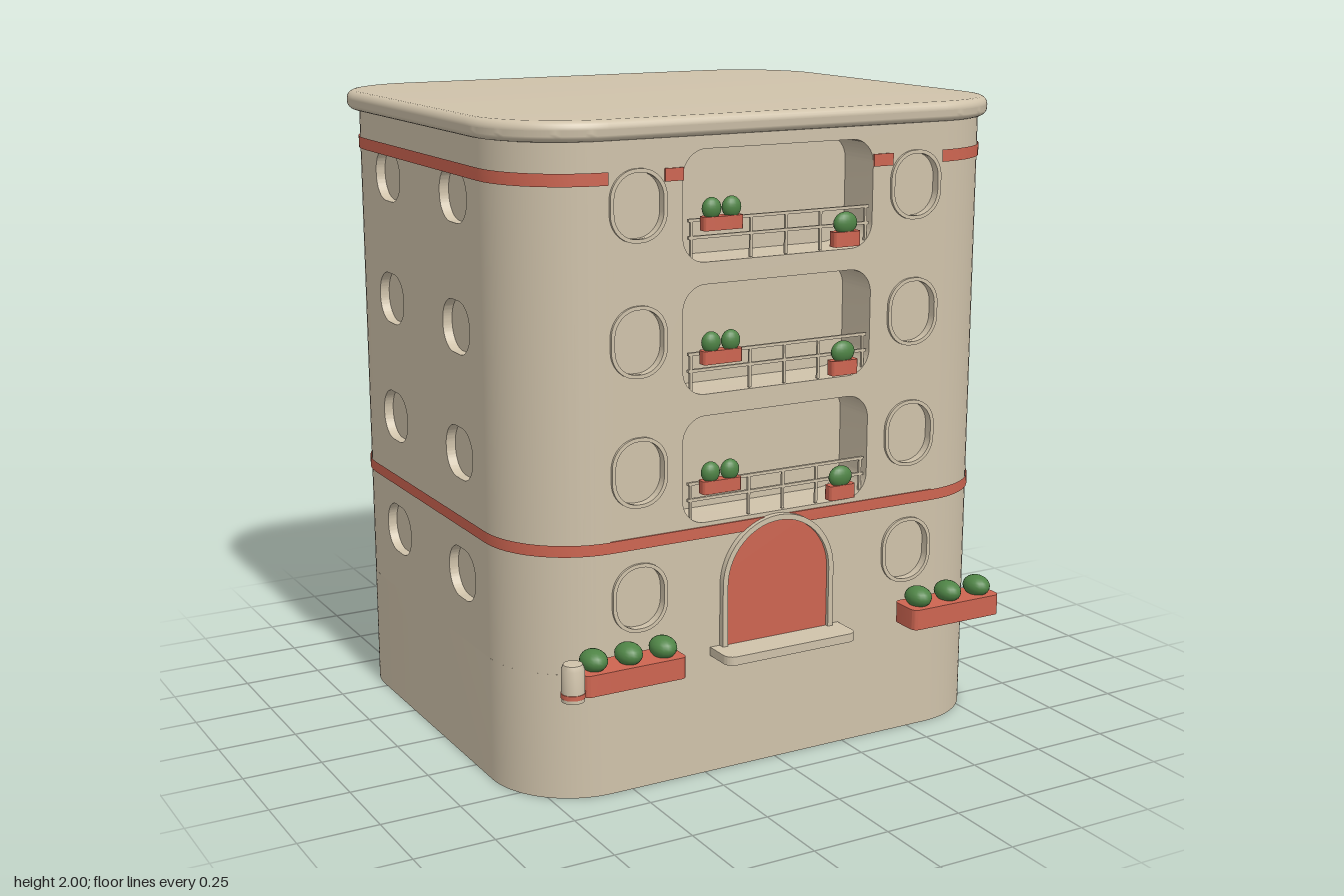
import * as THREE from 'three';
import { toCreasedNormals } from 'three/addons/utils/BufferGeometryUtils.js';

const material = (name, color, side = THREE.FrontSide) => {
  const m = new THREE.MeshStandardMaterial({ color, side });
  m.name = name;
  return m;
};

// Main dimensions
const HALF_W = 0.84, FRONT = 0.64, BACK = -0.79, R = 0.27;
const MID_Z = (FRONT + BACK) / 2, DEPTH = FRONT - BACK;
const BASE_TOP = 0.39, WALL_TOP = 1.95;
const ROWS = [0.6, 0.98, 1.365, 1.755];
const BALCONIES = [0.8, 1.19, 1.58];

// Traces a rounded rectangle centred on (x, y) into a Shape or Path
function roundRect(path, x, y, w, h, r) {
  const a = w / 2 - r, b = h / 2 - r;
  path.moveTo(x + a, y - b - r);
  path.absarc(x + a, y - b, r, -Math.PI / 2, 0);
  path.absarc(x + a, y + b, r, 0, Math.PI / 2);
  path.absarc(x - a, y + b, r, Math.PI / 2, Math.PI);
  path.absarc(x - a, y - b, r, Math.PI, Math.PI * 1.5);
  path.closePath();
  return path;
}

function arch(path, half, bottom, spring) {
  path.moveTo(-half, bottom);
  path.lineTo(half, bottom);
  path.lineTo(half, spring);
  path.absarc(0, spring, half, 0, Math.PI);
  path.closePath();
  return path;
}

function extrude(shape, depth, bevel = 0) {
  const geo = new THREE.ExtrudeGeometry(shape, {
    depth, curveSegments: 14, bevelEnabled: bevel > 0,
    bevelSize: bevel, bevelThickness: bevel, bevelOffset: -bevel, bevelSegments: 5,
  });
  return toCreasedNormals(geo, 0.6);
}

// Plan-shaped slab standing between two heights
function slab(w, d, r, y0, y1, bevel = 0) {
  const geo = extrude(roundRect(new THREE.Shape(), 0, 0, w, d, r), y1 - y0 - 2 * bevel, bevel);
  return geo.rotateX(-Math.PI / 2).translate(0, y0 + bevel, 0);
}

export function createModel() {
  const plaster = material('plaster', 0xcfc2aa);
  const plasterThin = plaster;
  const red = material('terracotta', 0xcd6551, THREE.DoubleSide);
  const green = material('foliage', 0x4f8446);
  const model = new THREE.Group();
  model.name = 'apartmentBuilding';

  function add(parent, name, geo, mat, x = 0, y = 0, z = 0) {
    const mesh = new THREE.Mesh(geo, mat);
    mesh.name = name;
    mesh.position.set(x, y, z);
    parent.add(mesh);
    return mesh;
  }
  const box = (parent, name, mat, x, y, z, w, h, d) =>
    add(parent, name, new THREE.BoxGeometry(w, h, d), mat, x, y, z);

  // Wall facing local +z, its outer face on z = 0, pierced by rounded openings
  function wall(name, width, thickness, openings) {
    const group = new THREE.Group();
    group.name = name;
    const shape = new THREE.Shape();
    shape.moveTo(-width / 2, BASE_TOP);
    shape.lineTo(width / 2, BASE_TOP);
    shape.lineTo(width / 2, WALL_TOP);
    shape.lineTo(-width / 2, WALL_TOP);
    shape.closePath();
    for (const o of openings) {
      shape.holes.push(roundRect(new THREE.Path(), o.x, o.y, o.w, o.h, o.r));
      box(group, o.name, plaster, o.x, o.y, -o.depth - 0.004, o.w, o.h, 0.008);
    }
    add(group, name + 'Panel', extrude(shape, thickness), plaster, 0, 0, -thickness);
    model.add(group);
    return group;
  }

  // Base and roof
  add(model, 'base', slab(HALF_W * 2, DEPTH, R, 0, BASE_TOP), plaster, 0, 0, MID_Z);
  add(model, 'roof', slab(1.75, 1.49, 0.3, 1.94, 2, 0.025), plaster, 0, 0, -0.085);

  // Front wall with windows and balcony recesses
  const frontOpenings = BALCONIES.map((b) => (
    { name: 'balconyBackWall', x: -0.005, y: b + 0.16, w: 0.65, h: 0.325, r: 0.075, depth: 0.15 }));
  for (const y of ROWS) for (const s of [-1, 1]) {
    frontOpenings.push({ name: 'frontWindow', x: s * 0.475, y, w: 0.16, h: 0.19, r: 0.075, depth: 0.02 });
  }
  const front = wall('frontWall', 2 * (HALF_W - R), 0.15, frontOpenings);
  front.position.z = FRONT;
  const ring = roundRect(new THREE.Shape(), 0, 0, 0.182, 0.21, 0.085);
  ring.holes.push(roundRect(new THREE.Path(), 0, 0, 0.158, 0.188, 0.074));
  const ringGeo = extrude(ring, 0.012);
  for (const y of ROWS) for (const s of [-1, 1]) {
    add(front, 'windowFrame', ringGeo, plaster, s * 0.475, y, -0.004);
  }

  // Side walls, back wall and rounded corners
  for (const s of [-1, 1]) {
    const openings = [];
    for (const y of ROWS) for (const z of [0.18, -0.335]) {
      openings.push({ name: 'sideWindow', x: -s * (z - MID_Z), y, w: 0.2, h: 0.16, r: 0.076, depth: 0.03 });
    }
    const side = wall(s > 0 ? 'leftWall' : 'rightWall', DEPTH - 2 * R, 0.04, openings);
    side.rotation.y = s * Math.PI / 2;
    side.position.set(s * HALF_W, 0, MID_Z);
  }
  const back = wall('backWall', 2 * (HALF_W - R), 0.04, []);
  back.rotation.y = Math.PI;
  back.position.z = BACK;
  for (let i = 0; i < 4; i++) {
    const geo = new THREE.CylinderGeometry(R, R, WALL_TOP - BASE_TOP, 14, 1, true, i * Math.PI / 2, Math.PI / 2);
    const x = (i < 2 ? 1 : -1) * (HALF_W - R);
    const z = i === 0 || i === 3 ? FRONT - R : BACK + R;
    add(model, 'roundedCorner', geo, plasterThin, x, (BASE_TOP + WALL_TOP) / 2, z);
  }

  // Painted bands: a ribbon around the back and sides, then short front strips
  const out = 0.005;
  function band(y0, y1, strips) {
    const points = [];
    for (let i = 0; i < 4; i++) {
      const cx = (i < 2 ? 1 : -1) * (HALF_W - R);
      const cz = i === 0 || i === 3 ? FRONT - R : BACK + R;
      for (let k = 0; k <= 12; k++) {
        const t = (i + k / 12) * Math.PI / 2;
        points.push([cx + Math.sin(t) * (R + out), cz + Math.cos(t) * (R + out)]);
      }
    }
    const pos = [], index = [];
    points.forEach(([x, z], i) => {
      pos.push(x, y0, z, x, y1, z);
      const a = 2 * i;
      if (i < points.length - 1) index.push(a, a + 2, a + 1, a + 1, a + 2, a + 3);
    });
    const geo = new THREE.BufferGeometry();
    geo.setAttribute('position', new THREE.Float32BufferAttribute(pos, 3));
    geo.setIndex(index);
    geo.computeVertexNormals();
    add(model, 'paintedBand', geo, red);
    for (const [x0, x1] of strips) {
      box(model, 'frontBand', red, (x0 + x1) / 2, (y0 + y1) / 2, FRONT + out / 2, x1 - x0, y1 - y0, out);
    }
  }
  band(1.818, 1.855, [[-0.39, -0.33], [0.32, 0.39]]);
  band(0.75, 0.785, [[-0.57, 0.57]]);

  // Arched door, frame and step
  const frame = arch(new THREE.Shape(), 0.197, BASE_TOP, 0.593);
  frame.holes.push(arch(new THREE.Path(), 0.18, BASE_TOP + 0.001, 0.593));
  add(model, 'doorFrame', extrude(frame, 0.025), plaster, -0.005, 0, FRONT - 0.005);
  add(model, 'door', extrude(arch(new THREE.Shape(), 0.182, BASE_TOP, 0.593), 0.008), red, -0.005, 0, FRONT);
  add(model, 'doorStep', slab(0.46, 0.15, 0.03, 0.375, 0.402), plaster, -0.005, 0, 0.675);

  // Planters with rounded bushes
  const leaf = new THREE.SphereGeometry(1, 18, 12);
  function planter(parent, x, y, z, w, h, d, bushes, rx, ry, rz) {
    const group = new THREE.Group();
    group.name = 'planter';
    group.position.set(x, y, z);
    parent.add(group);
    add(group, 'planterBox', slab(w, d, Math.min(0.02, d / 4), 0, h), red);
    for (const bx of bushes) {
      add(group, 'bush', leaf, green, bx, h + ry * 0.7, 0).scale.set(rx, ry, rz);
    }
  }
  for (const s of [-1, 1]) {
    planter(model, s * 0.568, BASE_TOP, 0.745, 0.33, 0.065, 0.11, [-0.113, 0, 0.113], 0.04, 0.033, 0.048);
  }

  // Balcony railings and their planters
  for (const b of BALCONIES) {
    const balcony = new THREE.Group();
    balcony.name = 'balcony';
    balcony.position.set(0, b, FRONT - 0.008);
    model.add(balcony);
    for (const y of [0.07, 0.12]) box(balcony, 'rail', plaster, 0, y, 0, 0.62, 0.009, 0.01);
    for (const x of [-0.3, -0.1, 0.02, 0.14, 0.3]) box(balcony, 'railPost', plaster, x, 0.06, 0, 0.008, 0.12, 0.008);
    planter(balcony, -0.213, 0.092, 0.024, 0.13, 0.04, 0.036, [-0.033, 0.033], 0.03, 0.032, 0.022);
    planter(balcony, 0.213, 0.01, 0.024, 0.092, 0.045, 0.036, [0], 0.04, 0.034, 0.022);
  }

  // Small standing lamp beside the planter
  const lamp = [[0, 0], [0.034, 0], [0.034, 0.095], [0.028, 0.11], [0, 0.112]].map((p) => new THREE.Vector2(...p));
  add(model, 'standingLamp', toCreasedNormals(new THREE.LatheGeometry(lamp, 20), 0.6), plaster, -0.77, BASE_TOP, 0.792);
  add(model, 'lampStripe', new THREE.CylinderGeometry(0.036, 0.036, 0.014, 20), red, -0.77, BASE_TOP + 0.018, 0.792);

  return model;
}
